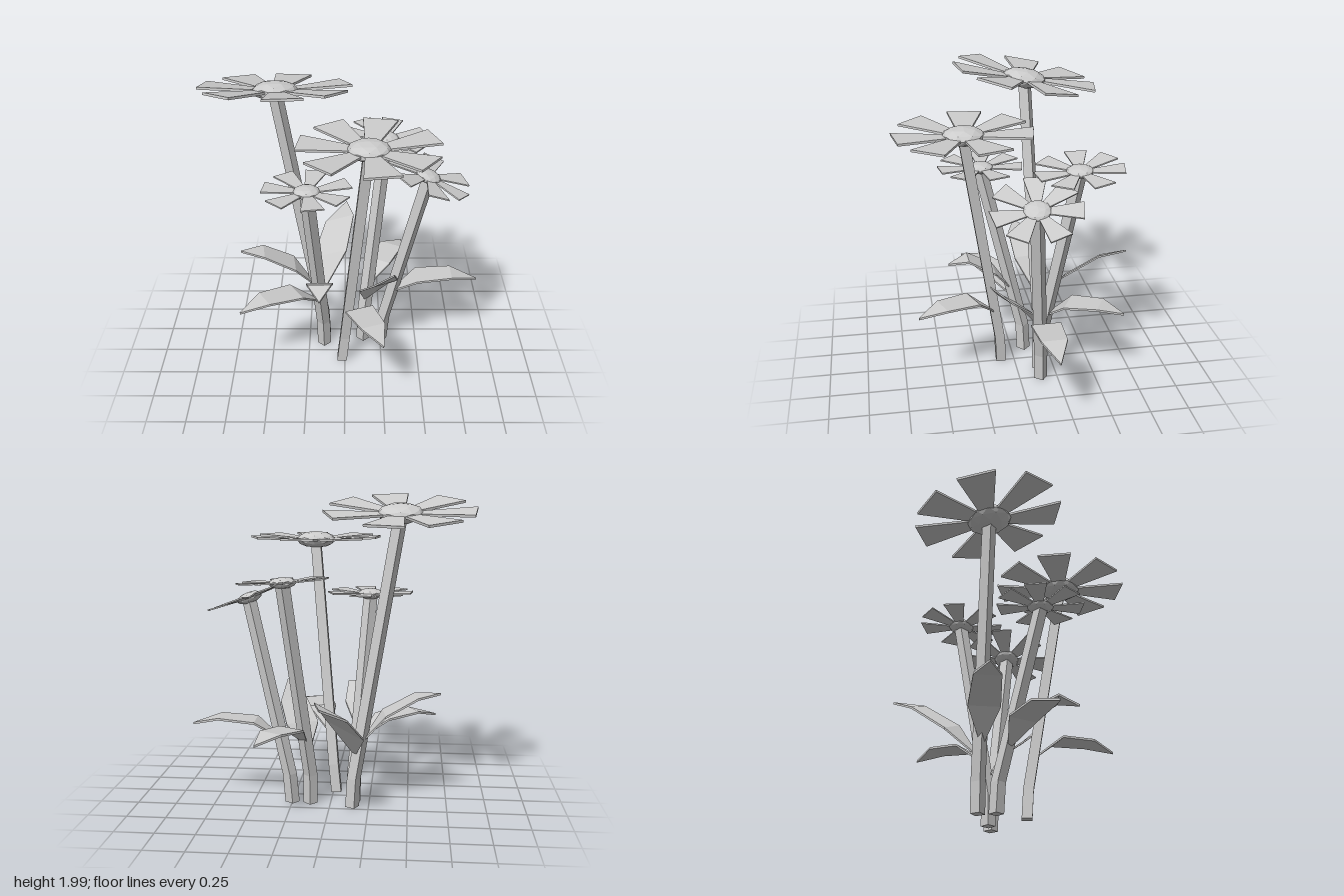
import * as THREE from 'three';

const material = new THREE.MeshStandardMaterial({ color: 0xcccccc, flatShading: true, side: THREE.DoubleSide });
const V = (a) => new THREE.Vector3(...a);

function part(geometry, name) {
  const mesh = new THREE.Mesh(geometry, material);
  mesh.name = name;
  return mesh;
}

// Move every vertex of a geometry by a rule
function reshape(geometry, rule) {
  const pos = geometry.attributes.position;
  const v = new THREE.Vector3();
  for (let i = 0; i < pos.count; i++) {
    rule(v.fromBufferAttribute(pos, i));
    pos.setXYZ(i, v.x, v.y, v.z);
  }
  geometry.computeVertexNormals();
  return geometry;
}

// Square stem through three points, bending a little above the ground
function makeStem(points, yaw) {
  const path = points.map(V);
  const g = new THREE.CylinderGeometry(0.046, 0.046, 1, 4, 2, false, yaw);
  return part(reshape(g, (v) => {
    const p = path[Math.round((v.y + 0.5) * 2)];
    v.set(v.x + p.x, p.y, v.z + p.z);
  }), 'stem');
}

// Petal: thin slab widening outwards and rising slightly
function makePetal(angle) {
  const g = reshape(new THREE.BoxGeometry(1, 0.014, 1), (v) => {
    const outer = v.x > 0;
    v.set(outer ? 0.42 : 0.09, v.y + (outer ? 0.02 : 0), v.z * (outer ? 0.22 : 0.08));
  });
  const petal = part(g, 'petal');
  petal.rotation.y = -THREE.MathUtils.degToRad(angle);
  return petal;
}

const petalAngles = [187, 235, 281, 340, 34.5, 80.5, 134];

function makeBlossom(center, normal, size) {
  const blossom = new THREE.Group();
  blossom.name = 'blossom';
  const disc = part(new THREE.IcosahedronGeometry(0.132, 1), 'flowerCentre');
  disc.scale.y = 0.42;
  blossom.add(disc, ...petalAngles.map(makePetal));
  blossom.position.set(...center);
  blossom.scale.setScalar(size);
  blossom.quaternion.setFromUnitVectors(new THREE.Vector3(0, 1, 0), V(normal).normalize());
  return blossom;
}

// Leaf: slab in three bent segments, given its ends, inner heights, width and sideways roll
const stations = [0, 0.3, 0.7, 1];
const leafWidths = [0.04, 1, 0.85, 0.02];

function makeLeaf({ from, to, heights, width = 0.19, roll = 0 }) {
  const a = V(from), b = V(to);
  const side = new THREE.Vector3(-(b.z - a.z), 0, b.x - a.x).normalize();
  side.multiplyScalar(Math.cos(roll)).setY(Math.sin(roll));
  const ys = [a.y, ...heights, b.y];
  const g = new THREE.BoxGeometry(1, 0.014, 1, 1, 1, 3);
  return part(reshape(g, (v) => {
    const i = Math.round((v.z + 0.5) * 3);
    const across = v.x * width * leafWidths[i], up = v.y;
    v.lerpVectors(a, b, stations[i]).setY(ys[i] + up).addScaledVector(side, across);
  }), 'leaf');
}

const flowers = [
  { base: [-0.145, 0.01, -0.2], bend: [-0.155, 0.2, -0.2], head: [-0.43, 1.88, -0.14], normal: [0, 1, -0.185], size: 1.1, yaw: 0.3 },
  { base: [-0.02, 0.01, 0.09], bend: [0.0, 0.2, 0.1], head: [0.14, 1.69, 0.33], normal: [0, 1, 0], size: 1, yaw: Math.PI / 4 },
  { base: [0.13, 0.01, -0.15], bend: [0.13, 0.2, -0.15], head: [0.27, 1.47, -0.36], normal: [0.07, 1, 0.05], size: 0.65, yaw: 0 },
  { base: [0.25, 0.01, -0.14], bend: [0.268, 0.2, -0.135], head: [0.53, 1.34, -0.05], normal: [0.37, 1, 0.06], size: 0.65, yaw: 0.15 },
  { base: [-0.145, 0.01, -0.09], bend: [-0.15, 0.2, -0.08], head: [-0.235, 1.345, 0.185], normal: [0, 1, 0], size: 0.65, yaw: 0 },
];

const leaves = [
  // Low, arching leaves
  { from: [0.31, 0.42, -0.12], to: [0.9, 0.52, -0.13], heights: [0.55, 0.57] },
  { from: [0.03, 0.41, 0.13], to: [0.24, 0.52, 0.65], heights: [0.55, 0.56] },
  { from: [-0.17, 0.41, -0.02], to: [-0.68, 0.51, 0.28], heights: [0.54, 0.56] },
  { from: [0.15, 0.42, -0.18], to: [0.41, 0.53, -0.645], heights: [0.55, 0.57] },
  // Tall, rising leaves
  { from: [-0.16, 0.36, -0.2], to: [0.01, 0.785, -0.76], heights: [0.57, 0.735], width: 0.27, roll: 0.4 },
  { from: [-0.19, 0.42, -0.18], to: [-0.7, 0.745, -0.11], heights: [0.62, 0.73], width: 0.2 },
  { from: [0.14, 0.35, -0.14], to: [0.32, 0.75, 0.2], heights: [0.51, 0.63], width: 0.22 },
  { from: [-0.17, 0.46, -0.02], to: [-0.16, 0.69, 0.42], heights: [0.63, 0.73], width: 0.18 },
];

export function createModel() {
  const model = new THREE.Group();
  model.name = 'flowerClump';
  for (const f of flowers) {
    const flower = new THREE.Group();
    flower.name = 'flower';
    const top = [f.head[0], f.head[1] - 0.02, f.head[2]];
    flower.add(makeStem([f.base, f.bend, top], f.yaw), makeBlossom(f.head, f.normal, f.size));
    model.add(flower);
  }
  model.add(...leaves.map(makeLeaf));
  return model;
}
